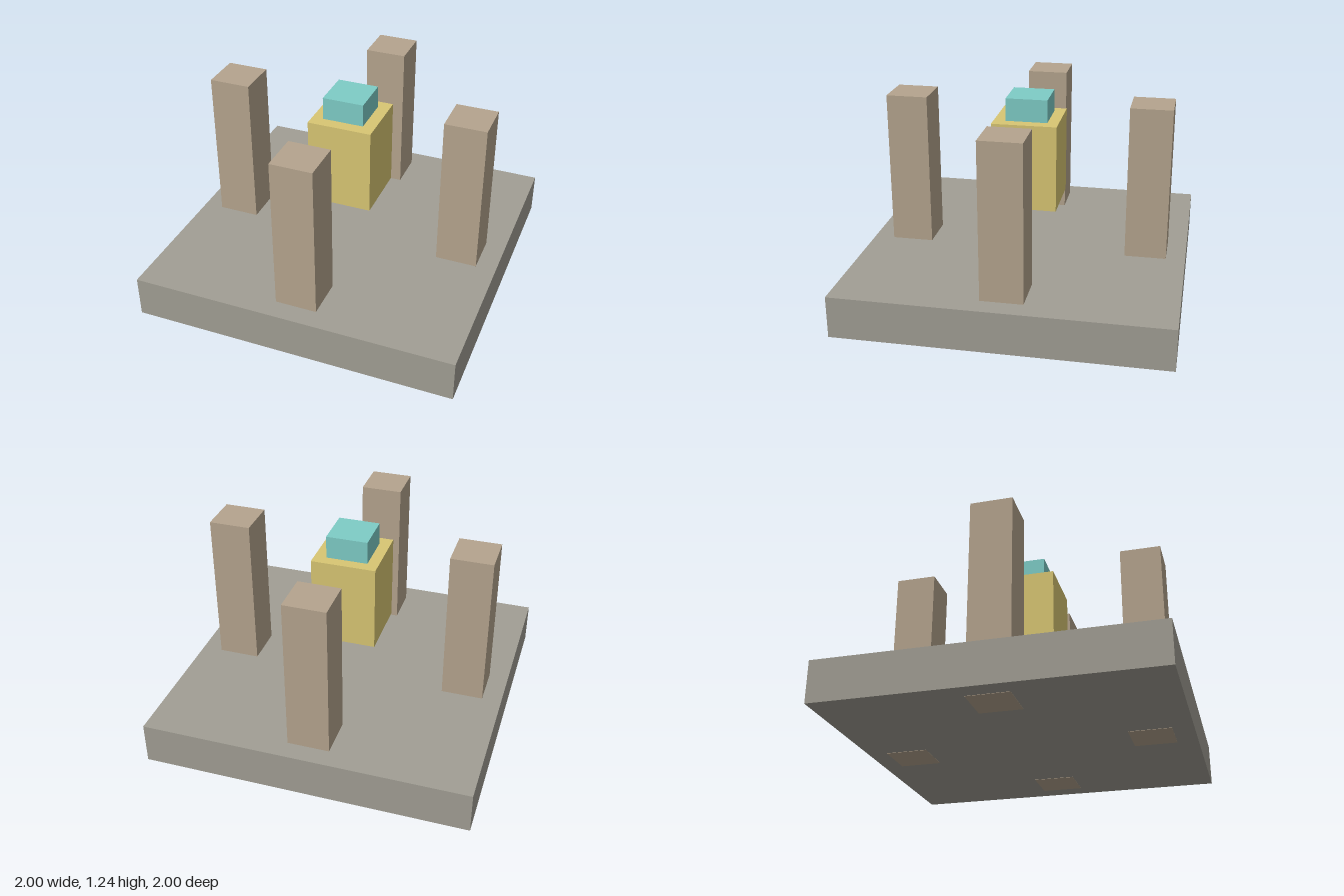
import * as THREE from 'three';

// Adds a box given its width/depth, its bottom and top heights, and its centre on the ground plane
function addBlock(parent, name, color, size, bottom, top, x = 0, z = 0) {
  const mesh = new THREE.Mesh(
    new THREE.BoxGeometry(size, top - bottom, size),
    new THREE.MeshStandardMaterial({ color, flatShading: true })
  );
  mesh.name = name;
  mesh.position.set(x, (bottom + top) / 2, z);
  parent.add(mesh);
}

export function createModel() {
  const model = new THREE.Group();
  model.name = 'pillaredPlatform';
  const offset = -0.003; // pillars and cap sit a hair off centre

  // Square slab; the pillar feet pass through it and just show underneath
  addBlock(model, 'baseSlab', 0xa19e94, 2, 0.002, 0.26);

  // Four pillars, one facing each side of the slab
  const pillars = new THREE.Group();
  pillars.name = 'pillars';
  model.add(pillars);
  const spots = { left: [0.75, 0], right: [-0.75, 0], front: [0, 0.75], back: [0, -0.75] };
  for (const [side, [x, z]] of Object.entries(spots)) {
    addBlock(pillars, side + 'Pillar', 0xb5a48e, 0.256, 0, 1.216, x + offset, z + offset);
  }

  // Floating block in the middle with a small cap on top
  addBlock(model, 'floatingBlock', 0xd8c673, 0.4, 0.555, 1.096);
  addBlock(model, 'blockCap', 0x7eccc6, 0.256, 1.096, 1.237, offset, offset);

  return model;
}
